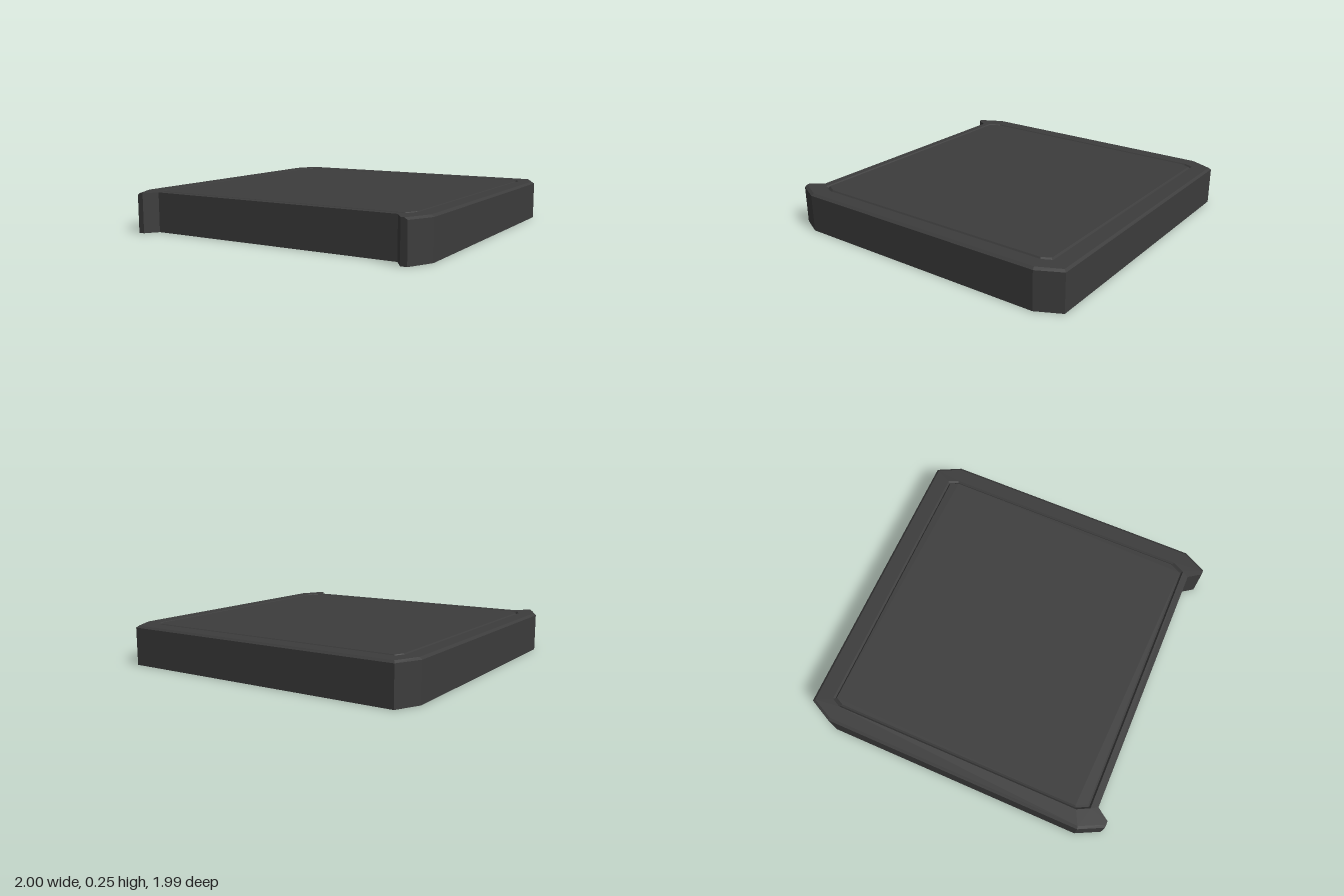
import * as THREE from 'three';

// Right half of an outline as [x, z] from back to front, mirrored to a closed ring
const ring = (half, y) => [
  ...half.map(([x, z]) => new THREE.Vector3(x, y, z)),
  ...[...half].reverse().map(([x, z]) => new THREE.Vector3(-x, y, z)),
];

// Skin a stack of rings with flat quads
function loft(rings) {
  const pos = [];
  for (let r = 0; r + 1 < rings.length; r++) {
    const a = rings[r], b = rings[r + 1], n = a.length;
    for (let i = 0; i < n; i++) {
      const j = (i + 1) % n;
      for (const v of [a[i], b[i], a[j], a[j], b[i], b[j]]) pos.push(v.x, v.y, v.z);
    }
  }
  const geo = new THREE.BufferGeometry();
  geo.setAttribute('position', new THREE.Float32BufferAttribute(pos, 3));
  geo.computeVertexNormals();
  return geo;
}

// Flat horizontal face filling a ring, with an optional hole, facing up or down
function cap(outer, hole, up = true) {
  const to2D = (pts) => pts.map((p) => new THREE.Vector2(p.x, up ? -p.z : p.z));
  const shape = new THREE.Shape(to2D(outer));
  if (hole) shape.holes.push(new THREE.Path(to2D(hole)));
  const geo = new THREE.ShapeGeometry(shape);
  geo.rotateX(up ? -Math.PI / 2 : Math.PI / 2);
  return geo.translate(0, outer[0].y, 0);
}

export function createModel() {
  const group = new THREE.Group();
  const material = new THREE.MeshStandardMaterial({ color: 0x3c3c3c, flatShading: true });
  const add = (name, geo) => {
    const mesh = new THREE.Mesh(geo, material);
    mesh.name = name;
    group.add(mesh);
  };
  const H = 0.25;

  // Slab outline: cut corners at the back, two pointed lugs at the front
  const side = [[0.925, -0.995], [1, -0.845], [1, 0.84], [0.925, 0.99], [0.885, 0.99], [0.83, 0.91]];
  // Top edge, chamfered at the back and sides only
  const rim = [[0.915, -0.98], [0.983, -0.84], [0.983, 0.835], [0.907, 0.99], [0.885, 0.99], [0.83, 0.91]];
  const bottom = ring(side, 0);
  const shoulder = ring(side.map(([x, z], i) => [x, z]), H - 0.012);
  // The unchamfered front keeps its full height
  const top = ring(rim, H);
  add('slabSides', loft([bottom, shoulder, top]));
  add('slabBottom', cap(bottom, null, false));

  // Groove outline with cut corners, shrunk by d
  const groove = (d, y) => ring([
    [0.865 - d * 0.8, -0.88 + d], [0.895 - d, -0.82 + d * 0.6],
    [0.895 - d, 0.79 - d * 0.6], [0.855 - d * 0.8, 0.868 - d],
  ], y);
  const grooveOuter = groove(0, H);
  const grooveInner = groove(0.02, H);
  add('topRim', cap(top, grooveOuter));
  add('groove', loft([grooveOuter, groove(0.01, H - 0.012), grooveInner]));
  add('topPanel', cap(grooveInner));

  return group;
}
